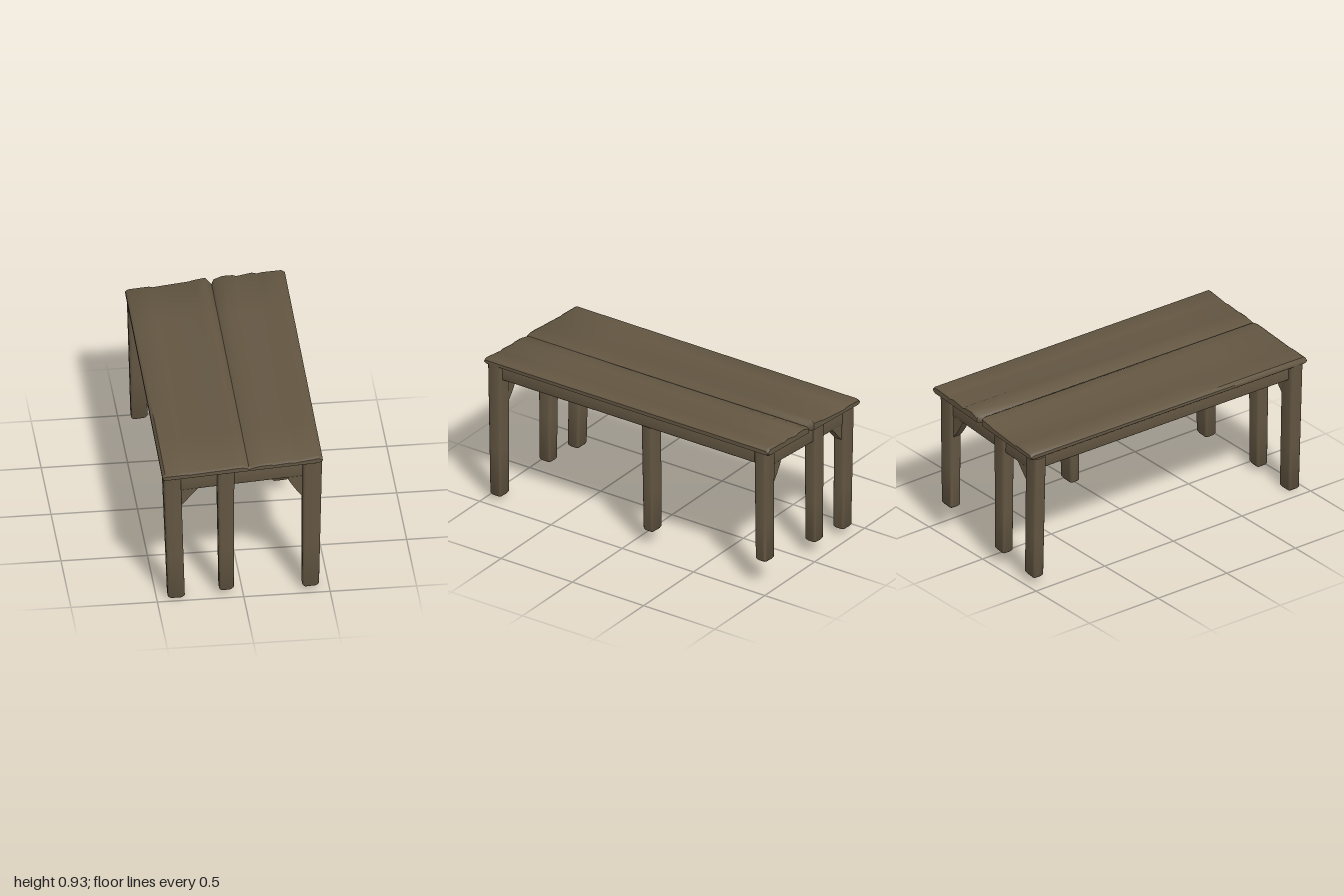
import * as THREE from 'three';
import { toCreasedNormals } from 'three/addons/utils/BufferGeometryUtils.js';

const V = (x, y, z) => new THREE.Vector3(x, y, z);
const SLOPE = 0.07; // the whole table rises towards +x

// Skin a list of rings (counter-clockwise about the direction of travel) and cap both ends
function loft(rings) {
  const n = rings[0].length, index = [];
  for (let j = 0; j < rings.length - 1; j++) {
    for (let i = 0; i < n; i++) {
      const a = j * n + i, b = j * n + (i + 1) % n;
      index.push(a, b, b + n, a, b + n, a + n);
    }
  }
  const last = (rings.length - 1) * n;
  for (let i = 0; i < n / 2 - 1; i++) {
    const a = i, b = i + 1, c = n - 2 - i, d = n - 1 - i;
    index.push(a, c, b, a, d, c);
    index.push(last + a, last + b, last + c, last + a, last + c, last + d);
  }
  const g = new THREE.BufferGeometry().setFromPoints(rings.flat());
  g.setIndex(index);
  return toCreasedNormals(g, 0.75);
}

// Points of a rounded rectangle with half sizes w and h
function roundedRect(w, h) {
  const r = Math.min(w, h) * 0.4, pts = [];
  [[1, 1], [-1, 1], [-1, -1], [1, -1]].forEach(([sx, sy], k) => {
    for (let i = 0; i <= 3; i++) {
      const a = (k + i / 3) * Math.PI / 2;
      pts.push([sx * (w - r) + r * Math.cos(a), sy * (h - r) + r * Math.sin(a)]);
    }
  });
  return pts;
}

// Rounded bar through stations [centre, half width, half height]
function bar(stations, ref) {
  const dir = stations.at(-1)[0].clone().sub(stations[0][0]).normalize();
  const up = ref.clone().addScaledVector(dir, -ref.dot(dir)).normalize();
  const side = up.clone().cross(dir);
  return loft(stations.map(([c, w, h]) => roundedRect(w, h).map(([a, b]) =>
    c.clone().addScaledVector(side, a).addScaledVector(up, b))));
}

// Planked top: x, height at the front, height at the back
const PROFILE = [
  [-0.465, 0.840, 0.855], [-0.45, 0.857, 0.868], [-0.33, 0.864, 0.878], [-0.31, 0.862, 0.872],
  [-0.2, 0.872, 0.885], [-0.1, 0.880, 0.896], [-0.06, 0.885, 0.906], [0, 0.888, 0.915],
  [0.022, 0.883, 0.902], [0.035, 0.875, 0.885], [0.05, 0.880, 0.900], [0.1, 0.893, 0.920],
  [0.16, 0.896, 0.921], [0.18, 0.893, 0.913], [0.27, 0.903, 0.930], [0.3, 0.900, 0.922],
  [0.33, 0.905, 0.929], [0.44, 0.920, 0.935], [0.462, 0.905, 0.920],
];

function topGeometry() {
  const zs = [[-1, 0.01], [-0.985, 0], [-0.6, 0], [-0.2, 0], [0.2, 0], [0.6, 0], [0.985, 0], [1, 0.01]];
  return loft(zs.map(([z, inset]) => {
    const t = (1 - z) / 2;
    const lower = [], upper = [];
    PROFILE.forEach(([x, front, back], i) => {
      const edge = i === 0 || i === PROFILE.length - 1;
      // small notch in the back end at the widest gap
      const zz = z < -0.9 && Math.abs(x - 0.03) < 0.015 ? z + 0.03 : z;
      const px = x + (x < 0 ? (t - 0.3) * 0.012 : (t - 0.5) * 0.008);
      const base = 0.812 + (x + 0.465) * 0.066 + t * 0.01 + (edge ? 0.012 : 0);
      lower.push(V(px, base + inset, zz));
      upper.push(V(px, front + (back - front) * t - inset, zz));
    });
    return [...lower, ...upper.reverse()];
  }));
}

// Leg: top x, foot x, z, top half width, foot half width, half depth, foot height
const LEGS = [
  ['frontRightLeg', -0.412, -0.385, 0.935, 0.052, 0.049, 0.043, 0],
  ['frontMiddleLeg', -0.1, -0.095, 0.935, 0.050, 0.042, 0.043, 0.033],
  ['frontLeftLeg', 0.402, 0.392, 0.935, 0.056, 0.048, 0.043, 0.024],
  ['sideMiddleLeg', 0.352, 0.337, -0.1, 0.056, 0.052, 0.036, 0.088],
  ['backRightLeg', -0.402, -0.385, -0.925, 0.050, 0.047, 0.041, 0.04],
  ['backMiddleLeg', -0.105, -0.102, -0.925, 0.048, 0.044, 0.041, 0.08],
  ['backLeftLeg', 0.395, 0.392, -0.925, 0.052, 0.047, 0.041, 0.17],
];

function legGeometry(topX, footX, z, topW, footW, depth, foot) {
  const top = 0.855 + SLOPE * topX;
  const at = (t, k = 1) => [V(footX + (topX - footX) * t, foot + (top - foot) * t, z),
    (footW + (topW - footW) * t) * k, depth * (0.9 + 0.1 * t) * k];
  const g = bar([at(0, 0.8), at(0.015), at(0.35), at(0.7), at(1)], V(0, 0, 1));
  // cut the ends to the slope of the table
  const p = g.attributes.position;
  for (let i = 0; i < p.count; i++) {
    p.setY(i, Math.max(0, p.getY(i) + (foot > 0 ? SLOPE * 1.2 * (p.getX(i) - footX) : 0)));
  }
  return g;
}

export function createModel() {
  const group = new THREE.Group();
  const wood = new THREE.MeshStandardMaterial({ color: 0x635642 });
  wood.name = 'wood';
  const add = (name, geometry) => {
    const mesh = new THREE.Mesh(geometry, wood);
    mesh.name = name;
    group.add(mesh);
    return mesh;
  };

  add('tableTop', topGeometry());
  for (const [name, ...spec] of LEGS) add(name, legGeometry(...spec));

  // Aprons across the ends
  for (const [name, z] of [['frontApron', 0.925], ['backApron', -0.92]]) {
    add(name, bar([[V(-0.4, 0.768, z), 0.03, 0.052], [V(0.4, 0.822, z), 0.03, 0.052]], V(0, 1, 0)));
  }
  // Aprons along the sides
  add('rightApron', bar([[V(-0.4, 0.784, -0.92), 0.03, 0.046], [V(-0.4, 0.776, 0.92), 0.03, 0.052]], V(0, 1, 0)));
  add('leftApron', bar([[V(0.395, 0.842, -0.92), 0.03, 0.05], [V(0.395, 0.836, 0.92), 0.03, 0.05]], V(0, 1, 0)));

  // Corner braces between the end aprons and the outer legs
  for (const [end, z] of [['front', 0.925], ['back', -0.92]]) {
    for (const s of [-1, 1]) {
      const shape = new THREE.Shape();
      shape.moveTo(s * 0.37, 0.6);
      shape.lineTo(s * 0.345, 0.63);
      shape.quadraticCurveTo(s * 0.3, 0.68, s * 0.26, 0.74 + s * 0.015);
      shape.lineTo(s * 0.27, 0.79);
      shape.lineTo(s * 0.37, 0.79);
      const g = new THREE.ExtrudeGeometry(shape, { depth: 0.05, bevelEnabled: false, curveSegments: 6 });
      add(end + (s < 0 ? 'Right' : 'Left') + 'Brace', g).position.z = z - 0.025;
    }
  }
  return group;
}
